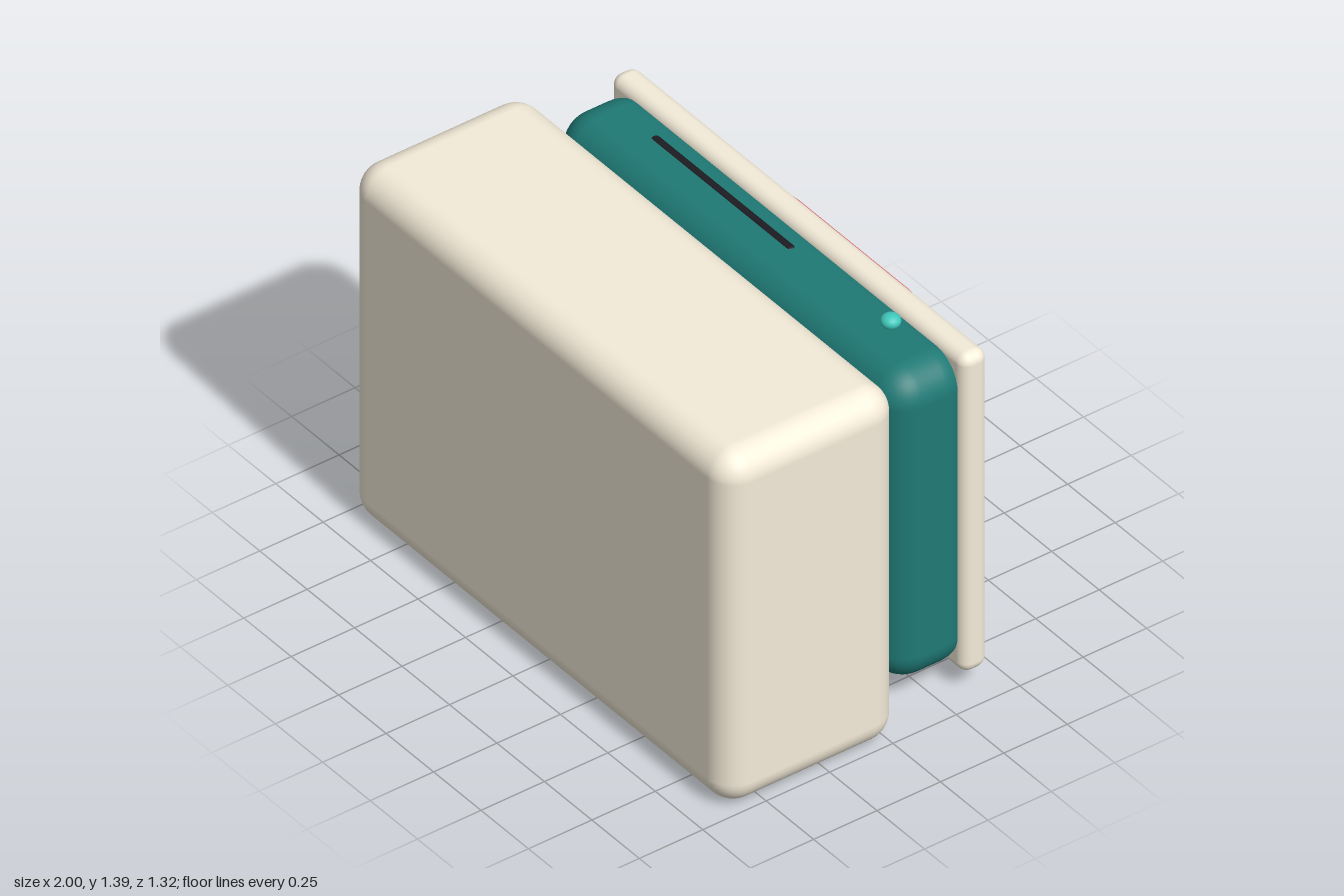
import * as THREE from 'three';
import { RoundedBoxGeometry } from 'three/addons/geometries/RoundedBoxGeometry.js';

const material = (color) => new THREE.MeshStandardMaterial({ color });

export function createModel() {
  const model = new THREE.Group();
  const cream = material(0xf5ecd9);
  const teal = material(0x1f7a76);
  const pink = material(0xf4747c);
  const black = material(0x1c1c22);
  const aqua = material(0x40c8bc);

  const add = (name, geometry, mat, x, y, z) => {
    const mesh = new THREE.Mesh(geometry, mat);
    mesh.name = name;
    mesh.position.set(x, y, z);
    model.add(mesh);
    return mesh;
  };

  // Rounded block given by its [min, max] extents on each axis
  const block = (name, mat, [x0, x1], [y0, y1], [z0, z1], radius) =>
    add(name, new RoundedBoxGeometry(x1 - x0, y1 - y0, z1 - z0, 5, radius), mat,
      (x0 + x1) / 2, (y0 + y1) / 2, (z0 + z1) / 2);

  // Large front housing, teal body behind it and the thin back panel
  block('frontHousing', cream, [-1, 1], [0, 1.39], [-0.035, 0.657], 0.1);
  block('body', teal, [-0.912, 0.912], [0.09, 1.31], [-0.4, -0.072], 0.12);
  block('backPanel', cream, [-0.935, 0.935], [0.07, 1.33], [-0.43, -0.328], 0.04);

  // Pink control block on the back panel
  block('controlBlock', pink, [-0.388, 0.388], [0.73, 1.14], [-0.613, -0.37], 0.1);

  // Slot and button on top of the body
  block('topSlot', black, [-0.615, 0.13], [1.275, 1.314], [-0.28, -0.24], 0.018);
  const button = add('topButton', new THREE.SphereGeometry(0.034, 24, 16), aqua, 0.63, 1.33, -0.268);
  button.scale.y = 0.75;

  // Two round knobs with softened rims
  const rim = 0.018, radius = 0.05, depth = 0.05;
  const profile = [new THREE.Vector2(0, 0)];
  for (const [cy, start] of [[rim, -Math.PI / 2], [depth - rim, 0]]) {
    for (let i = 0; i <= 4; i++) {
      const a = start + (i / 4) * (Math.PI / 2);
      profile.push(new THREE.Vector2(radius - rim + rim * Math.cos(a), cy + rim * Math.sin(a)));
    }
  }
  profile.push(new THREE.Vector2(0, depth));
  for (const side of [-1, 1]) {
    const knob = add(side > 0 ? 'leftKnob' : 'rightKnob',
      new THREE.LatheGeometry(profile, 24), teal, side * 0.195, 0.935, -0.61);
    knob.rotation.x = -Math.PI / 2;
  }

  return model;
}
